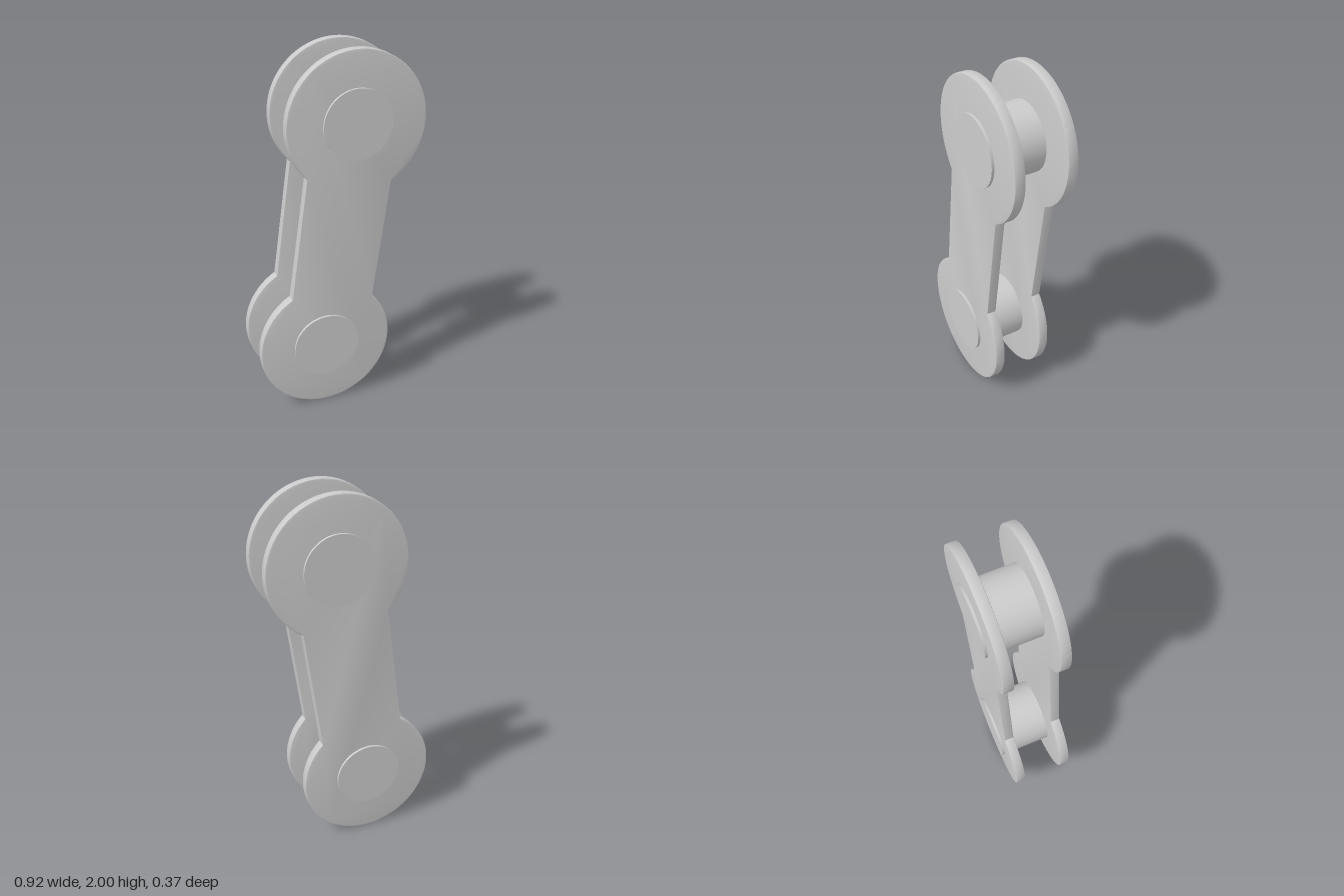
import * as THREE from 'three';
import { toCreasedNormals } from 'three/addons/utils/BufferGeometryUtils.js';

const HALF = 0.631;       // half the distance between the pin centres
const EYE_R = 0.373;      // round plate ends
const WEB = 0.233;        // half width of the straight middle
const PIN_R = 0.185;
const TILT = -0.135;

// Outline with two round eyes joined by a narrower straight bar
function plateShape() {
  const a = Math.asin(WEB / EYE_R);
  const shape = new THREE.Shape();
  shape.absarc(0, HALF, EYE_R, -Math.PI / 2 + a, Math.PI * 1.5 - a, false);
  shape.absarc(0, -HALF, EYE_R, Math.PI / 2 + a, Math.PI * 2.5 - a, false);
  shape.closePath();
  return shape;
}

export function createModel() {
  const material = new THREE.MeshStandardMaterial({ color: 0xcccccc });
  const link = new THREE.Group();
  link.name = 'chainLink';
  link.position.y = 1;
  link.rotation.z = TILT;

  // Side plates with finely bevelled rims
  const bevel = 0.005, thickness = 0.055;
  const extruded = new THREE.ExtrudeGeometry(plateShape(), {
    depth: thickness - 2 * bevel,
    curveSegments: 48,
    bevelThickness: bevel,
    bevelSize: bevel,
    bevelOffset: -bevel,
    bevelSegments: 2,
  });
  extruded.translate(0, 0, bevel - thickness / 2);
  const plateGeometry = toCreasedNormals(extruded, 0.5);
  for (const [name, z] of [['frontPlate', 0.1415], ['backPlate', -0.1415]]) {
    const plate = new THREE.Mesh(plateGeometry, material);
    plate.name = name;
    plate.position.z = z;
    link.add(plate);
  }

  // Pins pass through both plates and stand slightly proud
  const pinGeometry = new THREE.CylinderGeometry(PIN_R, PIN_R, 0.366, 64);
  pinGeometry.rotateX(Math.PI / 2);
  for (const [name, y] of [['upperPin', HALF], ['lowerPin', -HALF]]) {
    const pin = new THREE.Mesh(pinGeometry, material);
    pin.name = name;
    pin.position.y = y;
    link.add(pin);
  }

  const model = new THREE.Group();
  model.name = 'model';
  model.add(link);
  return model;
}
